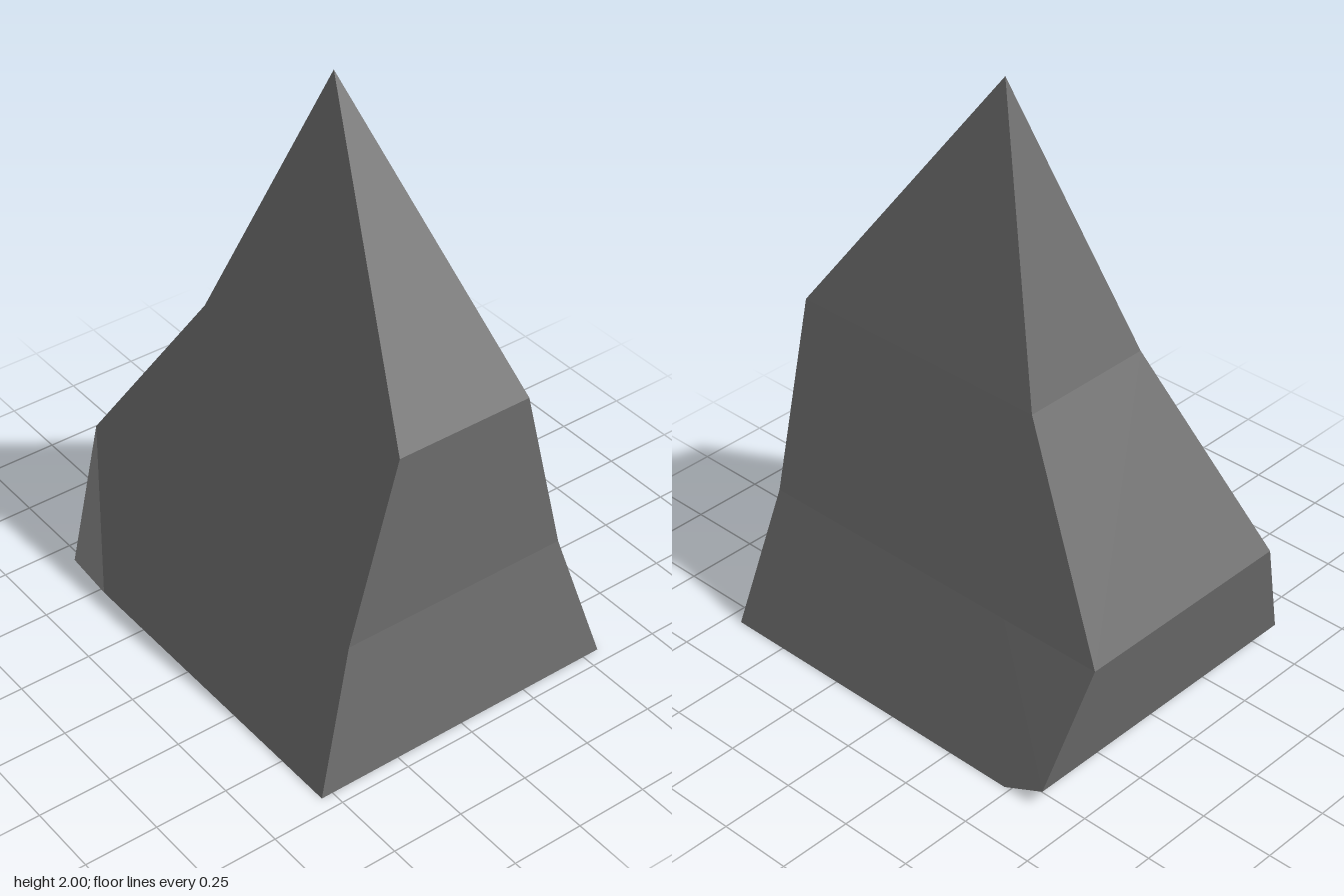
import * as THREE from 'three';

// Outline running from the apex down one side, under the base and back up:
// [x, y, front z, back z]
const outline = [
  [0.03, 2.0, -0.01, -0.01],
  [-0.3, 1.11, 0.23, -0.25],
  [-0.705, 0.48, 0.395, -0.415],
  [-0.62, 0.055, 0.56, -0.545],
  [-0.48, 0, 0.54, -0.56],
  [0.7, 0, 0.54, -0.56],
  [0.64, 0.48, 0.395, -0.415],
  [0.655, 1.11, 0.23, -0.25],
];

export function createModel() {
  const stone = new THREE.MeshStandardMaterial({ color: 0x6e6e6e });
  stone.name = 'darkGreyStone';

  const front = outline.map(([x, y, zf]) => [x, y, zf]);
  const back = outline.map(([x, y, , zb]) => [x, y, zb]);
  // Extra point where the chipped lower corner meets the broad face
  front.push([-0.34, 0.48, 0.395]);
  back.push([-0.34, 0.48, -0.415]);

  const positions = [];
  const addFace = (points) => {
    for (let i = 1; i < points.length - 1; i++) {
      positions.push(...points[0], ...points[i], ...points[i + 1]);
    }
  };

  // Broad front and back faces
  const facets = [[0, 1, 7], [1, 2, 8, 6, 7], [2, 3, 4, 8], [8, 4, 5, 6]];
  for (const facet of facets) {
    addFace(facet.map((i) => front[i]));
    addFace(facet.map((i) => back[i]).reverse());
  }

  // Narrow sides and base, bridging the two outlines
  const n = outline.length;
  for (let i = 0; i < n; i++) {
    const j = (i + 1) % n;
    if (i === 0) addFace([front[0], back[1], front[1]]);
    else if (j === 0) addFace([front[i], back[i], front[0]]);
    else addFace([front[i], back[i], back[j], front[j]]);
  }

  const geometry = new THREE.BufferGeometry();
  geometry.setAttribute('position', new THREE.Float32BufferAttribute(positions, 3));
  geometry.computeVertexNormals(); // separate corners give flat facets

  const rock = new THREE.Mesh(geometry, stone);
  rock.name = 'pointedRock';
  const model = new THREE.Group();
  model.name = 'rock';
  model.add(rock);
  return model;
}
